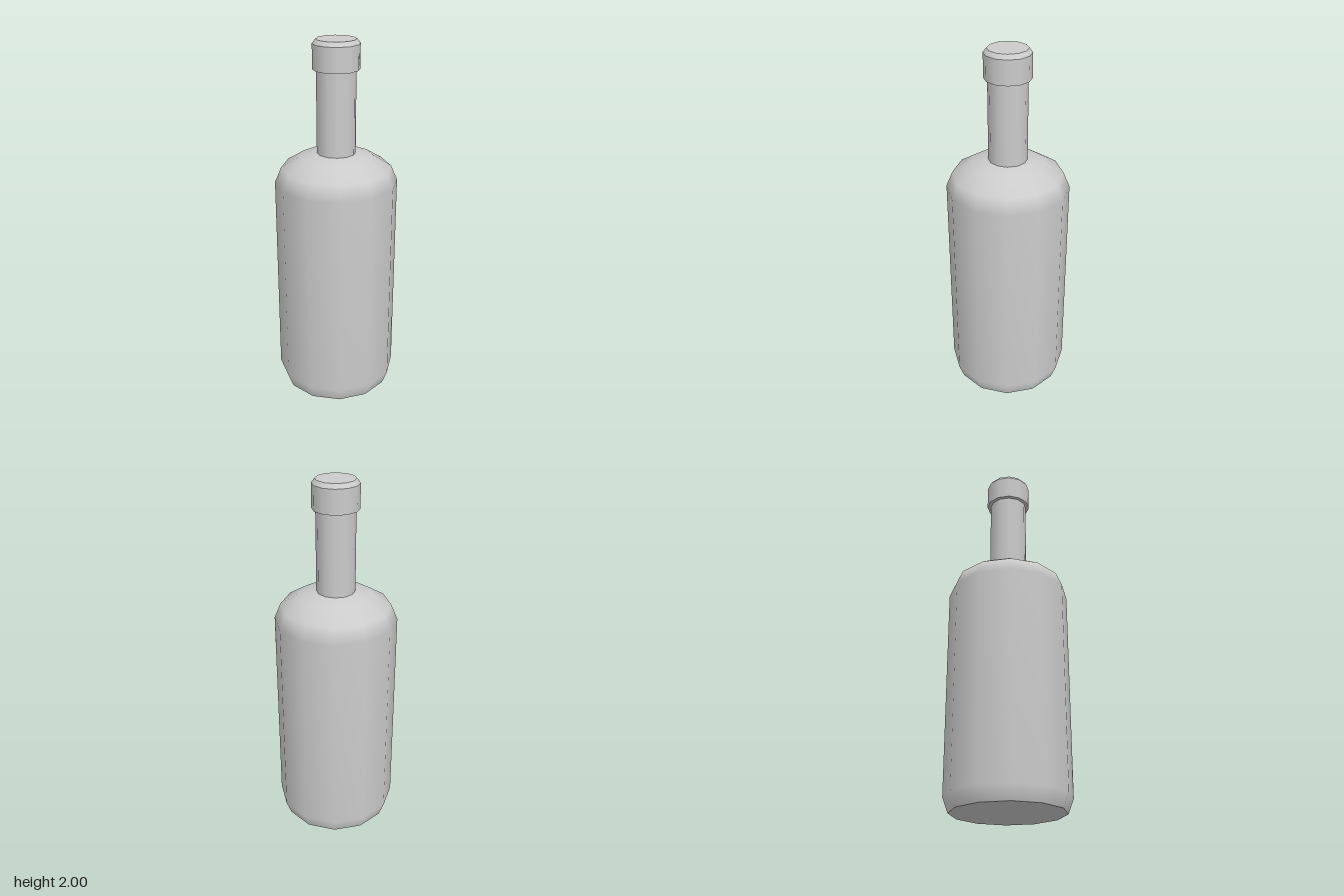
import * as THREE from 'three';
import { mergeGeometries } from 'three/addons/utils/BufferGeometryUtils.js';

const SIDES = 12;

// Each strip is a smooth run of [radius, height] points; edges between strips stay sharp.
function turned(name, strips, material) {
  const parts = strips.map((strip) =>
    new THREE.LatheGeometry(strip.map(([r, y]) => new THREE.Vector2(r, y)), SIDES));
  const mesh = new THREE.Mesh(mergeGeometries(parts), material);
  mesh.name = name;
  return mesh;
}

export function createModel() {
  const group = new THREE.Group();
  group.name = 'bottle';
  const material = new THREE.MeshStandardMaterial({ color: 0xcccccc });

  // Body: flat base, chamfered foot, straight wall and rounded shoulder
  group.add(turned('body', [
    [[0, 0], [0.305, 0]],
    [[0.305, 0], [0.335, 0.08], [0.335, 1.23], [0.3, 1.313], [0.2, 1.375], [0.105, 1.395]],
  ], material));

  // Neck: plain tube from shoulder to cap
  group.add(turned('neck', [[[0.105, 1.395], [0.105, 1.845]]], material));

  // Cap: underside ledge, wall, bevel and flat top
  group.add(turned('cap', [
    [[0.105, 1.845], [0.125, 1.845]],
    [[0.125, 1.845], [0.125, 1.977]],
    [[0.125, 1.977], [0.107, 2]],
    [[0.107, 2], [0, 2]],
  ], material));

  return group;
}
